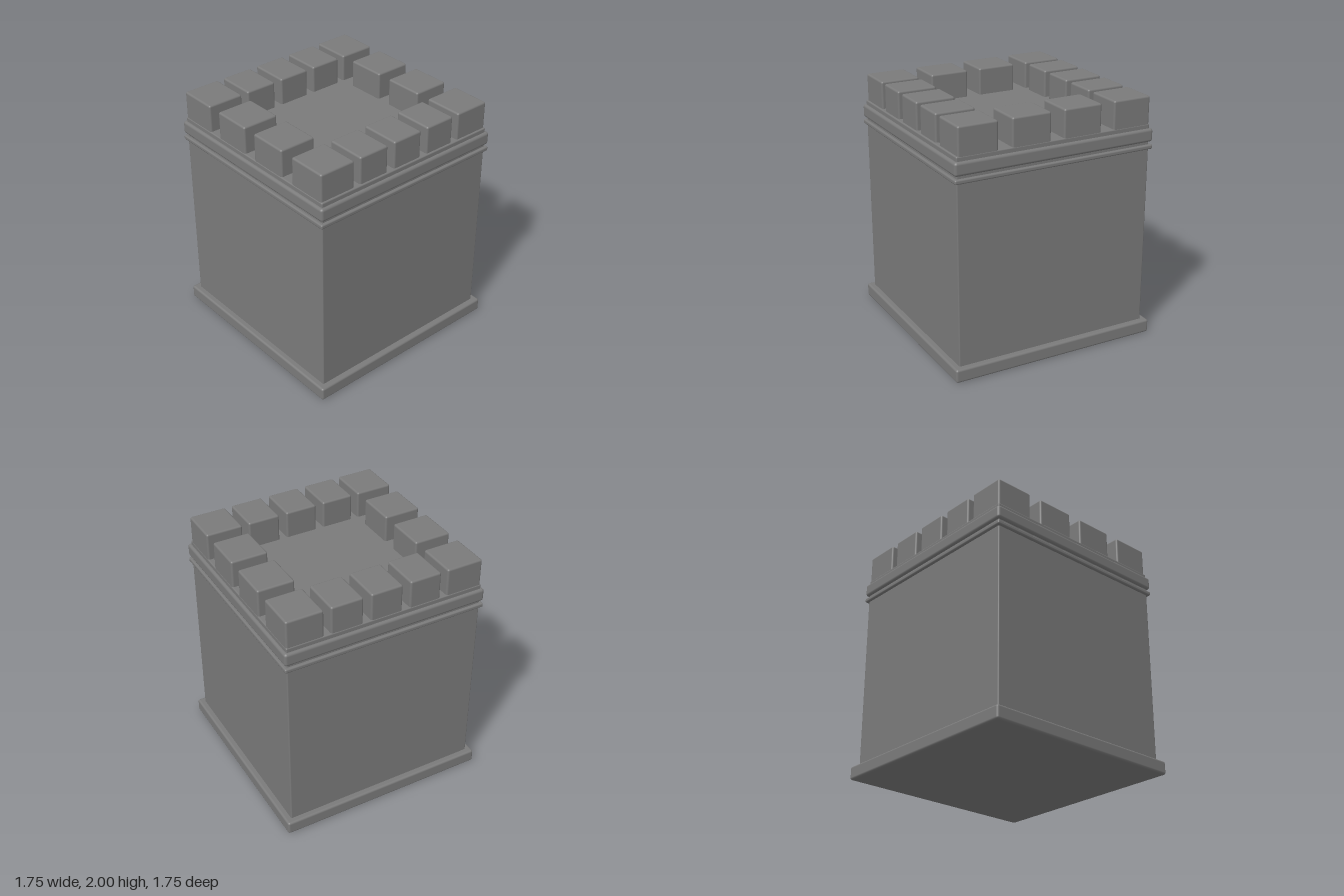
import * as THREE from 'three';
import { RoundedBoxGeometry } from 'three/addons/geometries/RoundedBoxGeometry.js';

const stone = new THREE.MeshStandardMaterial({ color: 0x7a7a7a });

// Softly bevelled block given by its extents on each axis
function block(name, [x0, x1], [y0, y1], [z0, z1], bevel) {
  const geometry = new RoundedBoxGeometry(x1 - x0, y1 - y0, z1 - z0, 2, bevel);
  const mesh = new THREE.Mesh(geometry, stone);
  mesh.name = name;
  mesh.position.set((x0 + x1) / 2, (y0 + y1) / 2, (z0 + z1) / 2);
  return mesh;
}

export function createModel() {
  const tower = new THREE.Group();
  tower.name = 'tower';

  // Square courses stacked from the ground: name, half width, bottom, top, bevel
  const courses = [
    ['base', 0.876, 0, 0.11, 0.018],
    ['body', 0.827, 0.05, 1.778, 0.01],
    ['lowerMoulding', 0.85, 1.577, 1.613, 0.012],
    ['upperMoulding', 0.85, 1.635, 1.742, 0.022],
  ];
  for (const [name, half, bottom, top, bevel] of courses) {
    tower.add(block(name, [-half, half], [bottom, top], [-half, half], bevel));
  }

  // Merlons around the rim: four across the front and back, five down each side
  const battlements = new THREE.Group();
  battlements.name = 'battlements';
  const columns = [[-0.823, -0.498], [-0.387, -0.062], [0.049, 0.374], [0.488, 0.813]];
  const rows = [[-0.825, -0.522], [-0.465, -0.2], [-0.135, 0.13], [0.195, 0.46], [0.517, 0.823]];
  columns.forEach((x, i) => rows.forEach((z, j) => {
    const onRim = i === 0 || i === columns.length - 1 || j === 0 || j === rows.length - 1;
    if (onRim) battlements.add(block('merlon', x, [1.74, 2], z, 0.016));
  }));
  tower.add(battlements);

  return tower;
}
